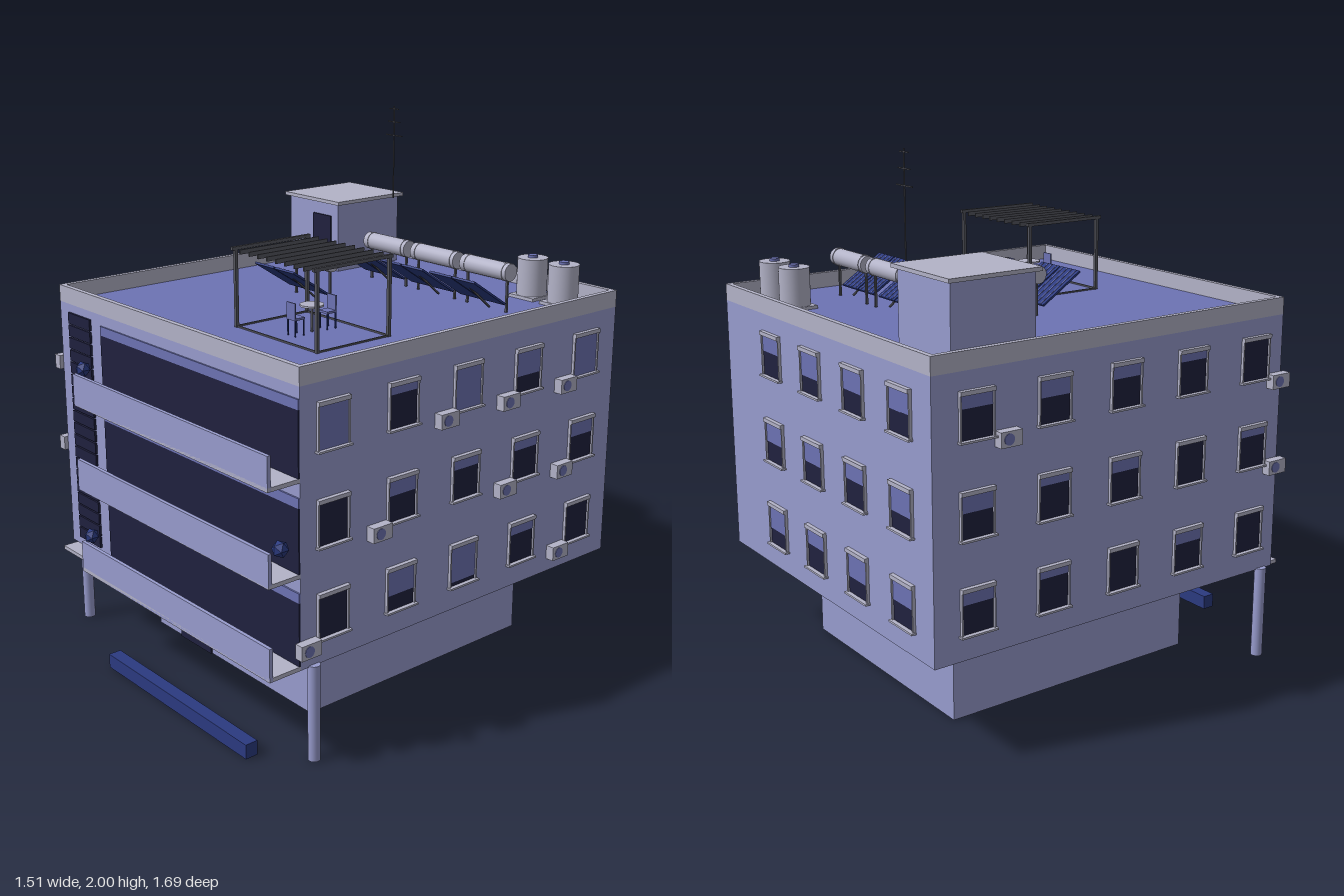
import * as THREE from 'three';

const mat = (name, color) => {
  const m = new THREE.MeshStandardMaterial({ color });
  m.name = name;
  return m;
};

export function createModel() {
  const wall = mat('lilac wall', 0x989cce);
  const trim = mat('pale grey trim', 0xb3b3c8);
  const violet = mat('violet', 0x6d73b4);
  const dark = mat('dark glass', 0x20213f);
  const blue = mat('deep blue', 0x2b3a80);
  const metal = mat('grey metal', 0x55565f);

  const root = new THREE.Group();
  root.name = 'apartmentBuilding';

  const group = (name, parent = root) => {
    const g = new THREE.Group();
    g.name = name;
    parent.add(g);
    return g;
  };
  const mesh = (name, geo, m, x, y, z, parent = root) => {
    const o = new THREE.Mesh(geo, m);
    o.name = name;
    o.position.set(x, y, z);
    parent.add(o);
    return o;
  };
  // Box given by its minimum and maximum on each axis
  const box = (name, m, x0, x1, y0, y1, z0, z1, parent = root) =>
    mesh(name, new THREE.BoxGeometry(x1 - x0, y1 - y0, z1 - z0), m,
      (x0 + x1) / 2, (y0 + y1) / 2, (z0 + z1) / 2, parent);
  const cyl = (name, m, r, y0, y1, x, z, parent = root, sides = 24) =>
    mesh(name, new THREE.CylinderGeometry(r, r, y1 - y0, sides), m, x, (y0 + y1) / 2, z, parent);

  const X = 0.717, ZF = 0.717, ZB = -0.823, ROOF = 1.345;

  // Ground floor, entrance, columns and planter
  box('groundFloor', wall, -0.475, 0.475, 0, 0.355, -0.59, 0.475);
  box('entranceDoor', dark, -0.32, -0.12, 0, 0.275, 0.475, 0.482);
  for (const s of [-1, 1]) cyl('column', wall, 0.022, 0, 0.36, s * X, 0.66);
  box('planter', blue, -0.285, 0.57, 0, 0.055, 0.79, 0.84);

  // Upper storeys, roof deck and parapet
  box('upperFloors', wall, -X, X, 0.355, ROOF - 0.004, ZB, ZF);
  box('roofDeck', violet, -X + 0.01, X - 0.01, ROOF - 0.004, ROOF, ZB + 0.01, ZF - 0.01);
  const t = 0.02, top = 1.405;
  for (const s of [-1, 1]) {
    const inner = s * (X - t), outer = s * X;
    box('parapetSide', trim, Math.min(inner, outer), Math.max(inner, outer), ROOF - 0.004, top, ZB, ZF);
  }
  box('parapetFront', trim, -X + t, X - t, ROOF - 0.004, top, ZF - t, ZF);
  box('parapetBack', trim, -X + t, X - t, ROOF - 0.004, top, ZB, ZB + t);

  // Balconies with their glazing
  const floors = [0.355, 0.688, 1.02];
  floors.forEach((y, i) => {
    const g = group('balcony');
    box('balconySlab', trim, -0.43, X, y, y + 0.015, ZF, 0.848, g);
    box('balconyFront', wall, -0.43, X, y, y + 0.122, 0.834, 0.848, g);
    box('balconyGlass', dark, -0.43, X, y + 0.015, y + 0.245, ZF, ZF + 0.006, g);
    box('balconyBlind', violet, -0.43, X, y + 0.245, y + 0.28, ZF, ZF + 0.006, g);
    const plant = new THREE.IcosahedronGeometry(0.03, 0);
    mesh('plant', plant, blue, i === 1 ? X + 0.004 : -0.432, y + 0.131, 0.802, g);
  });

  // Stair screen and the canopy below it
  const screen = group('stairScreen');
  for (let i = 0; i < 19; i++) {
    const y = 0.39 + i * 0.0487;
    box('screenSlat', dark, -0.65, -0.5, y, y + 0.043, ZF, ZF + 0.009, screen);
  }
  box('entranceCanopy', trim, -0.685, -0.475, 0.34, 0.355, 0.66, 0.78);

  // Window built facing +z; blind is the covered share of the pane
  const addWindow = (side, u, y, blind) => {
    const g = group('window', side);
    g.position.set(u, y, 0);
    const w = 0.065, h = 0.15, split = h * (1 - blind);
    if (blind < 1) box('windowGlass', dark, -w, w, 0, split, 0, 0.004, g);
    if (blind > 0) box('windowBlind', violet, -w, w, split, h, 0, 0.006, g);
    for (const s of [-1, 1])
      box('windowJamb', trim, s * w - 0.003, s * w + 0.003, 0, h, 0, 0.011, g);
    box('windowLintel', trim, -0.068, 0.068, h, h + 0.015, 0, 0.016, g);
    box('windowSill', trim, -0.073, 0.073, -0.007, 0, 0, 0.02, g);
  };
  // Air conditioner built facing +z
  const addCooler = (side, u, y) => {
    const g = group('airConditioner', side);
    g.position.set(u, y, 0);
    box('coolerCase', trim, -0.043, 0.043, -0.027, 0.027, 0, 0.034, g);
    const fan = cyl('coolerFan', violet, 0.02, 0, 0.002, 0, 0, g);
    fan.rotation.x = Math.PI / 2;
    fan.position.set(-0.01, 0, 0.035);
  };
  const facade = (name, x, z, turn) => {
    const g = group(name);
    g.position.set(x, 0, z);
    g.rotation.y = turn;
    return g;
  };
  const rowY = [1.113, 0.78, 0.448], coolerY = [1.098, 0.766, 0.434];
  const sideZ = [0.58, 0.272, -0.034, -0.341, -0.653];

  const left = facade('leftFacade', X, 0, Math.PI / 2);
  [[1, 0.2, 1, 0.6, 1], [0, 0.37, 0.25, 0.25, 0.37], [0, 0.62, 0.9, 0.25, 0]].forEach((row, r) =>
    row.forEach((b, c) => addWindow(left, -sideZ[c], rowY[r], b)));
  [[0.077, 0], [-0.23, 0], [-0.537, 0], [0.384, 1], [-0.23, 1], [-0.537, 1], [0.696, 2], [-0.537, 2]]
    .forEach(([z, r]) => addCooler(left, -z, coolerY[r]));

  const right = facade('rightFacade', -X, 0, -Math.PI / 2);
  [[0, 0.2, 0.3, 0.4, 0.3], [0.2, 0, 0.3, 0.2, 0.4], [0, 0.3, 0, 0.2, 0.3]].forEach((row, r) =>
    row.forEach((b, c) => addWindow(right, sideZ[c], rowY[r], b)));
  [[-0.537, 0], [0.69, 0], [0.69, 1]].forEach(([z, r]) => addCooler(right, z, coolerY[r]));

  const back = facade('backFacade', 0, ZB, Math.PI);
  [[0.5, 0.5, 0.6, 0.4], [0.6, 0.4, 0.5, 0.5], [0.5, 0.6, 0.4, 0.6]].forEach((row, r) =>
    row.forEach((b, c) => addWindow(back, 0.538 - c * 0.296, rowY[r], b)));

  // Stair house on the roof, with door and aerial
  box('stairHouse', wall, -0.695, -0.39, ROOF, 1.625, -0.733, -0.402);
  box('stairHouseRoof', trim, -0.712, -0.372, 1.622, 1.636, -0.748, -0.387);
  box('stairHouseDoor', dark, -0.54, -0.43, ROOF, 1.57, -0.402, -0.395);
  const aerial = group('aerial');
  cyl('aerialMast', metal, 0.003, 1.62, 2, -0.367, -0.686, aerial, 6);
  [[1.88, 0.048], [1.935, 0.035], [1.988, 0.026]].forEach(([y, w]) =>
    box('aerialBar', metal, -0.367 - w, -0.367 + w, y - 0.002, y + 0.002, -0.688, -0.684, aerial));

  // Solar water heaters
  const addHeater = (x, z) => {
    const g = group('solarHeater');
    g.position.set(x, 0, z);
    const tank = cyl('heaterTank', trim, 0.033, -0.116, 0.116, 0, 0, g);
    tank.rotation.z = Math.PI / 2;
    tank.position.y = 1.497;
    for (const s of [-1, 1]) {
      const band = cyl('heaterTankBand', trim, 0.035, -0.004, 0.004, s * 0.095, 0, g);
      band.rotation.z = Math.PI / 2;
      band.position.y = 1.497;
      box('heaterLeg', metal, s * 0.1 - 0.004, s * 0.1 + 0.004, ROOF, 1.48, -0.004, 0.004, g);
      const panel = group('solarPanel', g);
      panel.position.set(s * 0.059, 1.435, 0.105);
      panel.rotation.x = -0.57;
      box('panelSheet', blue, -0.056, 0.056, -0.004, 0.004, -0.1, 0.1, panel);
      for (let i = 0; i < 4; i++) {
        const u = -0.039 + i * 0.026;
        box('panelStripe', violet, u - 0.002, u + 0.002, 0.004, 0.006, -0.097, 0.097, panel);
      }
    }
    const strut = box('heaterStrut', metal, -0.004, 0.004, -0.003, 0.003, -0.07, 0.07, g);
    strut.position.set(0.03, 1.4, 0.07);
    strut.rotation.x = -0.7;
  };
  [[-0.12, -0.437], [0.15, -0.437], [0.417, -0.437], [-0.12, -0.042]].forEach(p => addHeater(...p));

  // Water tanks
  for (const x of [0.417, 0.572]) {
    const g = group('waterTank');
    box('tankBase', trim, x - 0.061, x + 0.061, ROOF, ROOF + 0.012, -0.747, -0.625, g);
    cyl('tankBody', trim, 0.058, ROOF + 0.012, 1.5, x, -0.686, g, 32);
    cyl('tankLid', violet, 0.019, 1.5, 1.51, x, -0.686, g);
  }

  // Pergola: posts, end beams, slats and floor rails
  const pergola = group('pergola');
  const px = [0.036, 0.478], pz = [0.118, 0.443], b = 0.006;
  for (const x of px) {
    for (const z of pz) box('pergolaPost', metal, x - b, x + b, ROOF, 1.625, z - b, z + b, pergola);
    box('pergolaBeam', metal, x - b, x + b, 1.624, 1.636, 0.105, 0.46, pergola);
    box('pergolaRail', metal, x - 0.003, x + 0.003, ROOF, ROOF + 0.006, pz[0], pz[1], pergola);
  }
  for (const z of pz)
    box('pergolaRail', metal, px[0], px[1], ROOF, ROOF + 0.006, z - 0.003, z + 0.003, pergola);
  for (let i = 1; i < 9; i++) {
    const x = px[0] + (px[1] - px[0]) * i / 9;
    box('pergolaSlat', metal, x - 0.003, x + 0.003, 1.618, 1.634, 0.105, 0.46, pergola);
  }

  // Table and two chairs under the pergola
  cyl('tableTop', trim, 0.043, 1.438, 1.445, 0.257, 0.28);
  cyl('tableLeg', metal, 0.005, ROOF, 1.438, 0.257, 0.28, root, 8);
  for (const s of [-1, 1]) {
    const chair = group('chair');
    chair.position.set(0.257, ROOF, 0.28 + s * 0.073);
    chair.rotation.y = s > 0 ? 0 : Math.PI;
    box('chairSeat', violet, -0.023, 0.023, 0.058, 0.066, -0.022, 0.022, chair);
    box('chairBack', violet, -0.023, 0.023, 0.066, 0.12, 0.017, 0.022, chair);
    for (const x of [-0.02, 0.02]) for (const z of [-0.019, 0.019])
      box('chairLeg', blue, x - 0.002, x + 0.002, 0, 0.058, z - 0.002, z + 0.002, chair);
  }
  return root;
}
